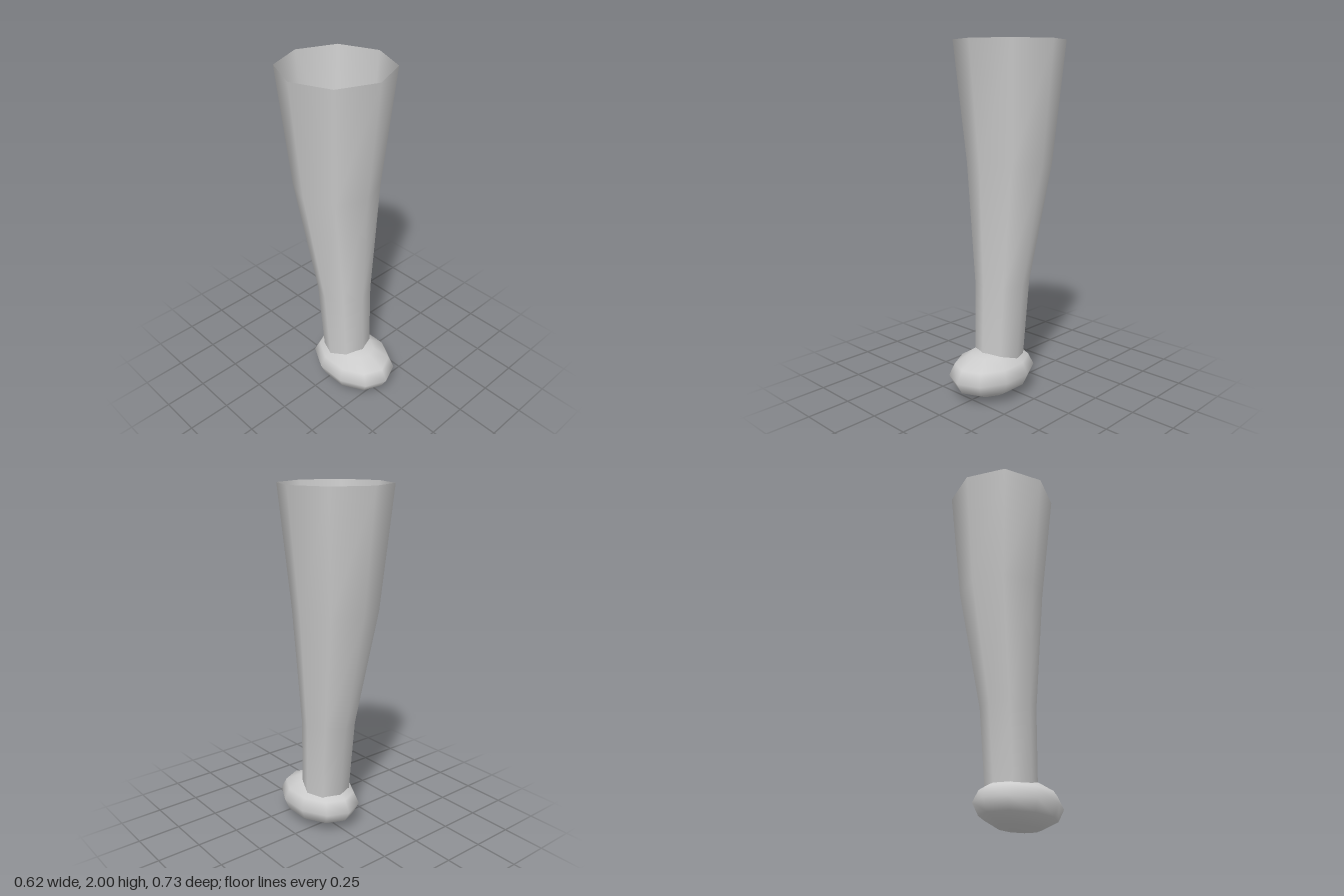
import * as THREE from 'three';

// Smooth open tube through horizontal eight-sided rings: [y, radius, centreZ]
function ringTube(rings, sides) {
  const positions = [], index = [];
  for (const [y, r, z] of rings) {
    for (let i = 0; i < sides; i++) {
      const a = (i / sides) * Math.PI * 2;
      positions.push(Math.sin(a) * r, y, z + Math.cos(a) * r);
    }
  }
  for (let j = 0; j < rings.length - 1; j++) {
    for (let i = 0; i < sides; i++) {
      const k = (i + 1) % sides;
      const a = j * sides + i, b = j * sides + k;
      index.push(a, b, b + sides, a, b + sides, a + sides);
    }
  }
  const geometry = new THREE.BufferGeometry();
  geometry.setAttribute('position', new THREE.Float32BufferAttribute(positions, 3));
  geometry.setIndex(index);
  geometry.computeVertexNormals();
  return geometry;
}

export function createModel() {
  const model = new THREE.Group();
  model.name = 'leg';
  const grey = new THREE.MeshStandardMaterial({ color: 0xcccccc, side: THREE.DoubleSide });
  grey.name = 'light grey';

  // Leg: ankle, shin, knee and open thigh
  const limb = new THREE.Mesh(ringTube([
    [0.14, 0.137, 0.029],
    [0.65, 0.155, 0],
    [1.33, 0.239, -0.06],
    [2, 0.309, -0.059],
  ], 8), grey);
  limb.name = 'limb';
  model.add(limb);

  // Foot: flattened low-poly ball, longer towards the toes
  const ball = new THREE.SphereGeometry(1, 10, 6);
  ball.rotateY(Math.PI / 2);
  ball.scale(0.208, 0.134, 0.28);
  const foot = new THREE.Mesh(ball, grey);
  foot.name = 'foot';
  foot.position.set(0, 0.134, 0.086);
  model.add(foot);

  return model;
}
